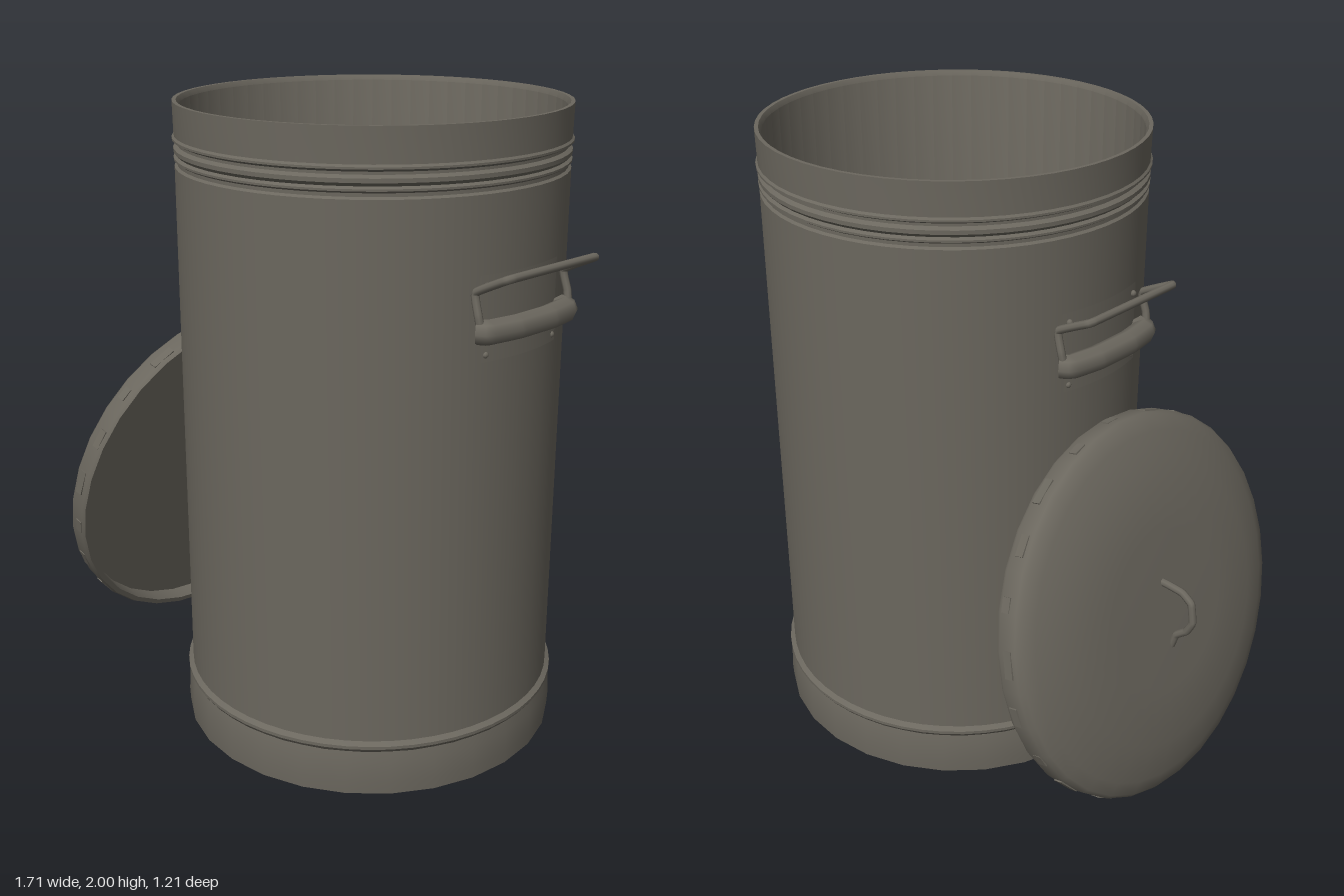
import * as THREE from 'three';
import { toCreasedNormals } from 'three/addons/utils/BufferGeometryUtils.js';

const BODY_X = 0.14; // the can stands off centre, the lid leans beside it

export function createModel() {
  const metal = new THREE.MeshStandardMaterial({ color: 0x6b675e, side: THREE.DoubleSide });
  metal.name = 'weathered metal';

  const mesh = (name, geometry, parent) => {
    const m = new THREE.Mesh(geometry, metal);
    m.name = name;
    parent.add(m);
    return m;
  };
  const lathe = (points, sides, crease = 0.5) =>
    toCreasedNormals(new THREE.LatheGeometry(points.map(([r, y]) => new THREE.Vector2(r, y)), sides), crease);

  // Bent rod: straight runs through the points, corners slightly rounded
  const rod = (points, radius, steps = 48) => {
    const curve = new THREE.CatmullRomCurve3(points.map((p) => new THREE.Vector3(...p)), false, 'catmullrom', 0.15);
    return new THREE.TubeGeometry(curve, steps, radius, 8);
  };

  const model = new THREE.Group();
  model.name = 'trashCan';

  // Can: outer wall with ridges, rolled lip, inner wall and floor
  const can = new THREE.Group();
  can.name = 'can';
  can.position.x = BODY_X;
  model.add(can);
  mesh('wall', lathe([
    [0.585, 0.13], [0.598, 0.145], [0.605, 0.155], [0.605, 0.165], [0.59, 0.175],
    [0.59, 1.808], [0.582, 1.814], [0.582, 1.824], [0.592, 1.83], [0.592, 1.836], [0.582, 1.842],
    [0.592, 1.852], [0.592, 1.864], [0.58, 1.872], [0.58, 1.88], [0.596, 1.888], [0.596, 1.894], [0.59, 1.9],
    [0.592, 2], [0.58, 2], [0.572, 1.985], [0.572, 0.03], [0, 0.03],
  ], 56), can);
  mesh('base', lathe([[0, 0], [0.604, 0], [0.606, 0.04], [0.603, 0.11], [0.597, 0.143], [0.58, 0.145]], 28), can);

  // Side handles: curved plates, rolled grip and wire bail
  const patch = (radius, y0, y1, halfAngle) => {
    const g = new THREE.CylinderGeometry(radius, radius, y1 - y0, 10, 1, true, Math.PI / 2 - halfAngle, halfAngle * 2);
    return g.translate(0, (y0 + y1) / 2, 0);
  };
  for (const [side, turn] of [['left', 0], ['right', Math.PI]]) {
    const handle = new THREE.Group();
    handle.name = side + 'Handle';
    handle.rotation.y = turn;
    can.add(handle);
    mesh('upperPlate', patch(0.602, 1.43, 1.59, 0.28), handle);
    mesh('lowerPlate', patch(0.608, 1.345, 1.43, 0.27), handle);
    mesh('grip', rod([
      [0.59, 1.44, 0.185], [0.615, 1.44, 0.17], [0.632, 1.44, 0.07],
      [0.632, 1.44, -0.07], [0.615, 1.44, -0.17], [0.59, 1.44, -0.185],
    ], 0.037), handle);
    mesh('bail', rod([
      [0.61, 1.44, 0.19], [0.60, 1.49, 0.195], [0.585, 1.55, 0.192], [0.685, 1.6, 0.192], [0.7, 1.607, 0.175],
      [0.7, 1.607, -0.175], [0.685, 1.6, -0.192], [0.585, 1.55, -0.192], [0.60, 1.49, -0.195], [0.61, 1.44, -0.19],
    ], 0.012, 80), handle);
    for (const z of [-0.145, 0.145]) {
      for (const y of [1.365, 1.56]) {
        const rivet = mesh('rivet', new THREE.SphereGeometry(0.01, 8, 6), handle);
        rivet.position.set(Math.sqrt(0.605 ** 2 - z * z), y, z);
      }
    }
  }

  // Leaning lid: shallow dome, folded rim and recessed underside
  const lid = new THREE.Group();
  lid.name = 'lid';
  lid.position.set(-0.612, 0.615, 0);
  lid.rotation.z = 1.32;
  model.add(lid);
  mesh('lidShell', lathe([
    [0, 0.05], [0.578, 0.05], [0.583, 0], [0.6, 0], [0.606, 0.012], [0.604, 0.07], [0.592, 0.085],
    [0.55, 0.1], [0.43, 0.138], [0.25, 0.143], [0, 0.145],
  ], 32, 0.7), lid);

  // Small crimps spaced around the rim
  for (let i = 0; i < 22; i++) {
    const a = (i / 22) * Math.PI * 2;
    const crimp = mesh('rimCrimp', new THREE.BoxGeometry(0.008, 0.028, 0.045 + 0.02 * (i % 3)), lid);
    crimp.position.set(Math.cos(a) * 0.602, 0.03 + 0.012 * (i % 2), Math.sin(a) * 0.602);
    crimp.rotation.y = -a;
  }

  // Bent wire handle on the lid
  mesh('lidHandle', rod([
    [-0.72, 0.74, -0.005], [-0.745, 0.74, -0.005], [-0.80, 0.735, -0.005], [-0.835, 0.71, -0.005], [-0.845, 0.645, -0.005],
    [-0.825, 0.605, -0.005], [-0.79, 0.575, -0.005], [-0.775, 0.53, -0.005],
  ], 0.012), model);

  return model;
}
